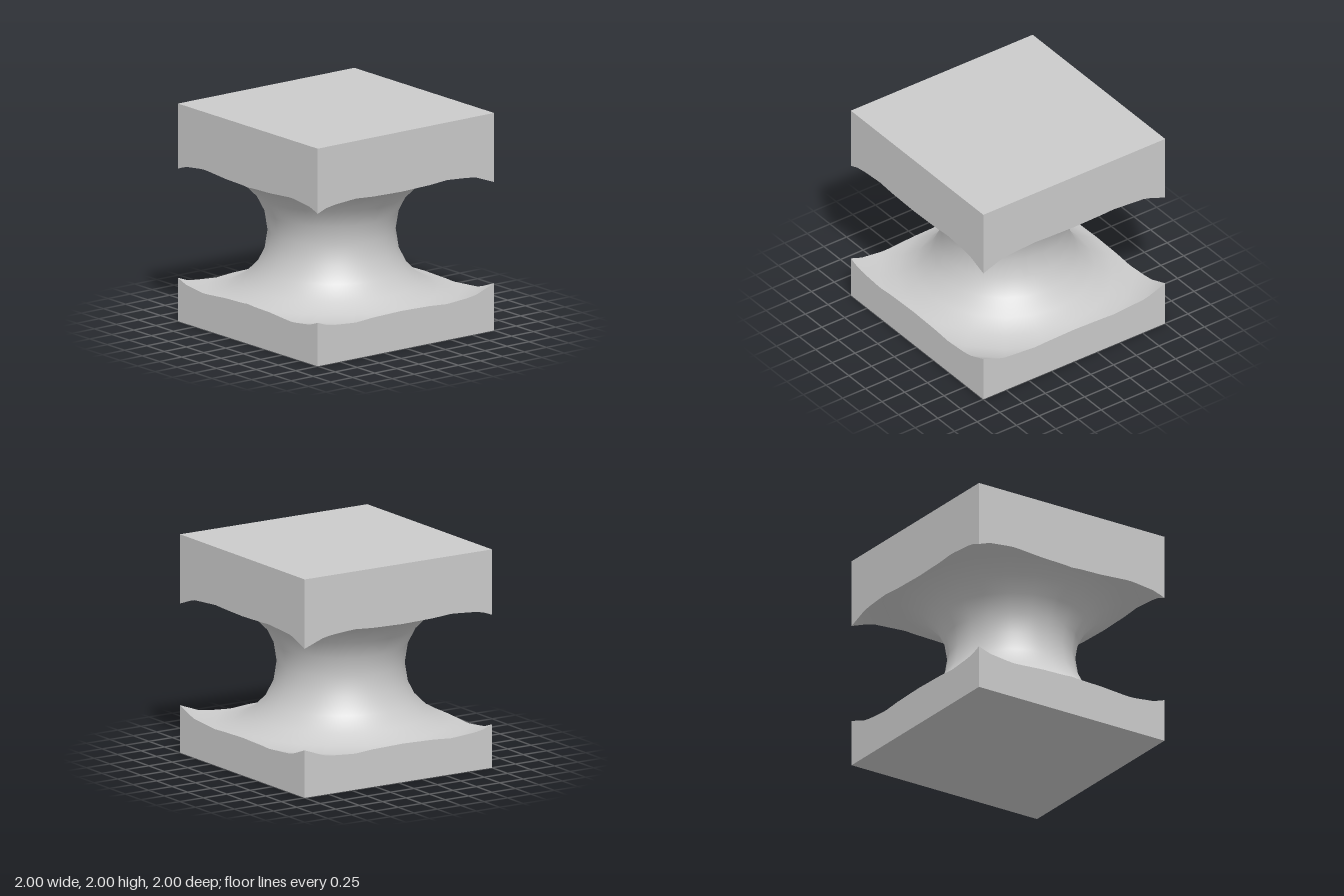
import * as THREE from 'three';

// A square block with a ring-shaped groove carved all round its waist
const RING = 1.14, TUBE = 0.57, MID = 0.9, CZ = 0.05;
const STEP = Math.PI / 10; // the groove has 20 segments both ways
const LEVELS = 7;          // groove rows above and below the middle
const material = new THREE.MeshStandardMaterial({ color: 0xcccccc });

// Distance from the groove axis to the side of the square
function edgeDistance(a) {
  const c = Math.cos(a), s = Math.sin(a);
  const dx = 1 / Math.max(Math.abs(c), 1e-9);
  const dz = (s > 0 ? 1 - CZ : 1 + CZ) / Math.max(Math.abs(s), 1e-9);
  return Math.min(dx, dz);
}

const rowRadius = k => RING - TUBE * Math.cos(k * STEP);
const rowHeight = k => TUBE * Math.sin(k * STEP);

// Half height of the faceted groove at a given radius
function grooveHeight(radius) {
  let k = 0;
  while (k < LEVELS - 1 && rowRadius(k + 1) < radius) k++;
  const t = (radius - rowRadius(k)) / (rowRadius(k + 1) - rowRadius(k));
  return THREE.MathUtils.lerp(rowHeight(k), rowHeight(k + 1), t);
}

// Column of groove points from the bottom edge to the top edge at one angle
function makeColumn(a) {
  const local = a - (Math.floor(a / STEP + 1e-9) + 0.5) * STEP;
  const facet = Math.cos(STEP / 2) / Math.cos(local);
  const edge = edgeDistance(a), column = [];
  for (let k = -LEVELS; k <= LEVELS; k++) {
    const full = rowRadius(Math.abs(k)) * facet;
    const radius = Math.min(full, edge);
    const h = full < edge ? rowHeight(Math.abs(k)) : grooveHeight(edge / facet);
    const y = Math.sign(k) * h;
    const c = Math.cos(a), s = Math.sin(a);
    const out = RING - radius / facet;
    column.push({
      p: new THREE.Vector3(c * radius, MID + y, CZ + s * radius),
      n: new THREE.Vector3(c * out, -y, s * out).normalize(),
    });
  }
  return column;
}

// Collects quads, dropping triangles that collapse at the block's edge
function addQuad(list, a, b, c, d) {
  const area = new THREE.Triangle();
  for (const tri of [[a, b, c], [a, c, d]]) {
    area.set(tri[0].p, tri[1].p, tri[2].p);
    if (area.getArea() > 1e-8) list.push(...tri);
  }
}

function makeMesh(name, list, smooth) {
  const g = new THREE.BufferGeometry().setFromPoints(list.map(v => v.p));
  if (smooth) {
    g.setAttribute('normal', new THREE.Float32BufferAttribute(list.flatMap(v => v.n.toArray()), 3));
  } else g.computeVertexNormals();
  const mesh = new THREE.Mesh(g, material);
  mesh.name = name;
  return mesh;
}

export function createModel() {
  const model = new THREE.Group();
  model.name = 'groovedBlock';

  // Angles round the waist, with the four corners included exactly
  const angles = [];
  for (let i = 0; i < 160; i++) angles.push(i * Math.PI / 80);
  for (const x of [-1, 1]) for (const z of [-1, 1]) {
    angles.push((Math.atan2(z - CZ, x) + 2 * Math.PI) % (2 * Math.PI));
  }
  angles.sort((a, b) => a - b);
  const columns = angles.map(makeColumn);

  const waist = [], upper = [], lower = [];
  const atHeight = (v, y) => ({ p: new THREE.Vector3(v.p.x, y, v.p.z) });
  columns.forEach((c0, i) => {
    const c1 = columns[(i + 1) % columns.length];
    for (let k = 0; k < 2 * LEVELS; k++) {
      addQuad(waist, c1[k], c0[k], c0[k + 1], c1[k + 1]);
    }
    const t0 = c0[2 * LEVELS], t1 = c1[2 * LEVELS];
    addQuad(upper, t1, t0, atHeight(t0, 2), atHeight(t1, 2));
    addQuad(lower, atHeight(c1[0], 0), atHeight(c0[0], 0), c0[0], c1[0]);
  });
  model.add(makeMesh('carvedWaist', waist, true));
  model.add(makeMesh('upperWalls', upper, false));
  model.add(makeMesh('lowerWalls', lower, false));

  // Flat top and base
  for (const [name, y, turn] of [['topFace', 2, -1], ['baseFace', 0, 1]]) {
    const face = new THREE.Mesh(new THREE.PlaneGeometry(2, 2), material);
    face.name = name;
    face.rotation.x = turn * Math.PI / 2;
    face.position.y = y;
    model.add(face);
  }
  return model;
}
